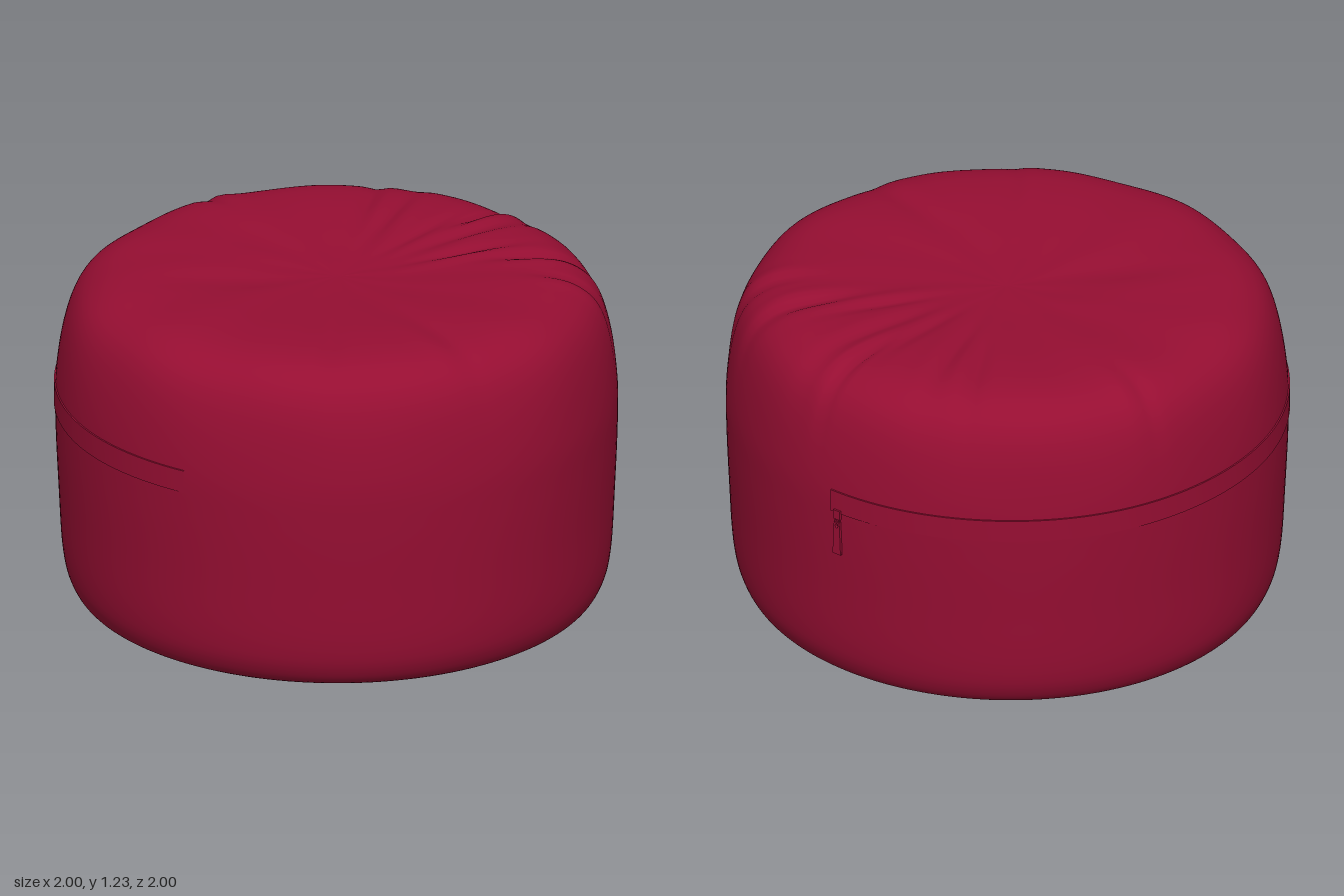
import * as THREE from 'three';
import { mergeVertices } from 'three/addons/utils/BufferGeometryUtils.js';

// Cushion outline: radius, height
const OUTLINE = [
  [0, 0.012], [0.45, 0.01], [0.8, 0.012], [0.9, 0.03], [0.95, 0.09], [0.975, 0.2], [0.988, 0.42],
  [0.998, 0.65], [0.998, 0.82], [0.975, 1.0], [0.935, 1.12], [0.87, 1.19], [0.77, 1.228],
  [0.6, 1.238], [0.4, 1.23], [0.2, 1.218], [0, 1.212],
];

// Creases on top: angle from +x towards +z, middle radius, length, width, depth
const CREASES = [
  [-0.5, 0.66, 0.2, 0.03, 0.016], [-0.32, 0.55, 0.22, 0.03, 0.014], [0.1, 0.76, 0.18, 0.022, 0.024],
  [0.02, 0.5, 0.22, 0.025, 0.012], [0.25, 0.6, 0.22, 0.03, 0.012], [0.68, 0.75, 0.18, 0.03, 0.02],
  [0.52, 0.5, 0.2, 0.025, 0.014], [0.92, 0.85, 0.14, 0.03, 0.014], [-1.25, 0.86, 0.12, 0.03, 0.012],
  [2.5, 0.7, 0.2, 0.03, 0.007], [1.9, 0.7, 0.2, 0.04, 0.008], [-2.4, 0.45, 0.25, 0.08, 0.01],
];

const gauss = (d, w) => Math.exp(-(d * d) / (w * w));

// Soft cloth shape: slightly flatter left side, gentle waves and pulled creases
function drape(geometry) {
  const p = geometry.attributes.position;
  const v = new THREE.Vector3(), dir = new THREE.Vector3();
  for (let i = 0; i < p.count; i++) {
    v.fromBufferAttribute(p, i);
    const r = Math.hypot(v.x, v.z), a = Math.atan2(v.z, v.x);
    const upper = THREE.MathUtils.smoothstep(v.y, 0.85, 1.18);
    const lower = THREE.MathUtils.smoothstep(v.y, 0.012, 0.15);
    let h = 0.003 * lower * r * Math.sin(5 * a + 3 * v.y) * Math.cos(2 * a);
    h += 0.004 * upper * r * Math.sin(11 * a + 4 * r);
    for (const [angle, mid, length, width, depth] of CREASES) {
      const d = Math.atan2(Math.sin(a - angle), Math.cos(a - angle)) * r;
      const along = gauss(r - mid, length) * upper * depth;
      h += along * (0.5 * gauss(d - 2 * width, width * 1.3) - gauss(d, width));
    }
    dir.set(v.x, Math.max(0, v.y - 0.75) * 2.5, v.z).normalize();
    v.addScaledVector(dir, h);
    if (v.x > 0) v.x *= 0.982;
    p.setXYZ(i, v.x, v.y, v.z);
  }
  geometry.deleteAttribute('uv');
  geometry.deleteAttribute('normal');
  const merged = mergeVertices(geometry, 1e-5);
  merged.computeVertexNormals();
  return merged;
}

export function createModel() {
  const group = new THREE.Group();
  const fabric = new THREE.MeshStandardMaterial({ color: 0x960e32 });
  const flapFabric = new THREE.MeshStandardMaterial({ color: 0x960e32, side: THREE.DoubleSide });
  fabric.name = 'crimson fabric';
  flapFabric.name = 'crimson flap fabric';

  const add = (name, geometry, material = fabric, parent = group) => {
    const mesh = new THREE.Mesh(geometry, material);
    mesh.name = name;
    parent.add(mesh);
    return mesh;
  };

  // Round cushion
  const curve = new THREE.SplineCurve(OUTLINE.map(([r, y]) => new THREE.Vector2(r, y)));
  const outline = curve.getPoints(112);
  outline[0].x = outline[outline.length - 1].x = 0;
  add('cushion', drape(new THREE.LatheGeometry(outline, 200)));

  // Zip flap round the back half, one lathe per face to keep its edges crisp
  const flap = new THREE.Group();
  flap.name = 'zipFlap';
  group.add(flap);
  const corners = [[0.99, 0.735], [1.004, 0.735], [1.003, 0.818], [0.99, 0.82]];
  ['flapLowerEdge', 'flapFace', 'flapUpperEdge'].forEach((name, i) => {
    const pts = corners.slice(i, i + 2).map(([r, y]) => new THREE.Vector2(r, y));
    add(name, drape(new THREE.LatheGeometry(pts, 100, Math.PI / 2 - 0.01, Math.PI + 0.11)), flapFabric, flap);
  });

  // Zip slider and hanging pull on the left side
  const zip = new THREE.Group();
  zip.name = 'zipPull';
  zip.position.set(0.984, 0, -0.022);
  group.add(zip);
  add('slider', new THREE.BoxGeometry(0.022, 0.035, 0.03), fabric, zip).position.y = 0.73;
  const ring = add('pullRing', new THREE.TorusGeometry(0.01, 0.003, 8, 16), fabric, zip);
  ring.position.set(0.005, 0.708, 0);
  ring.rotation.y = Math.PI / 2;
  const tab = new THREE.Shape([
    [-0.012, 0.7], [-0.018, 0.57], [0.018, 0.57], [0.012, 0.7],
  ].map(([x, y]) => new THREE.Vector2(x, y)));
  const slot = new THREE.Path();
  slot.absellipse(0, 0.685, 0.006, 0.009, 0, Math.PI * 2, true);
  tab.holes.push(slot);
  const pull = add('pullTab', new THREE.ExtrudeGeometry(tab, { depth: 0.01, bevelEnabled: false }), fabric, zip);
  pull.rotation.y = Math.PI / 2;

  return group;
}
